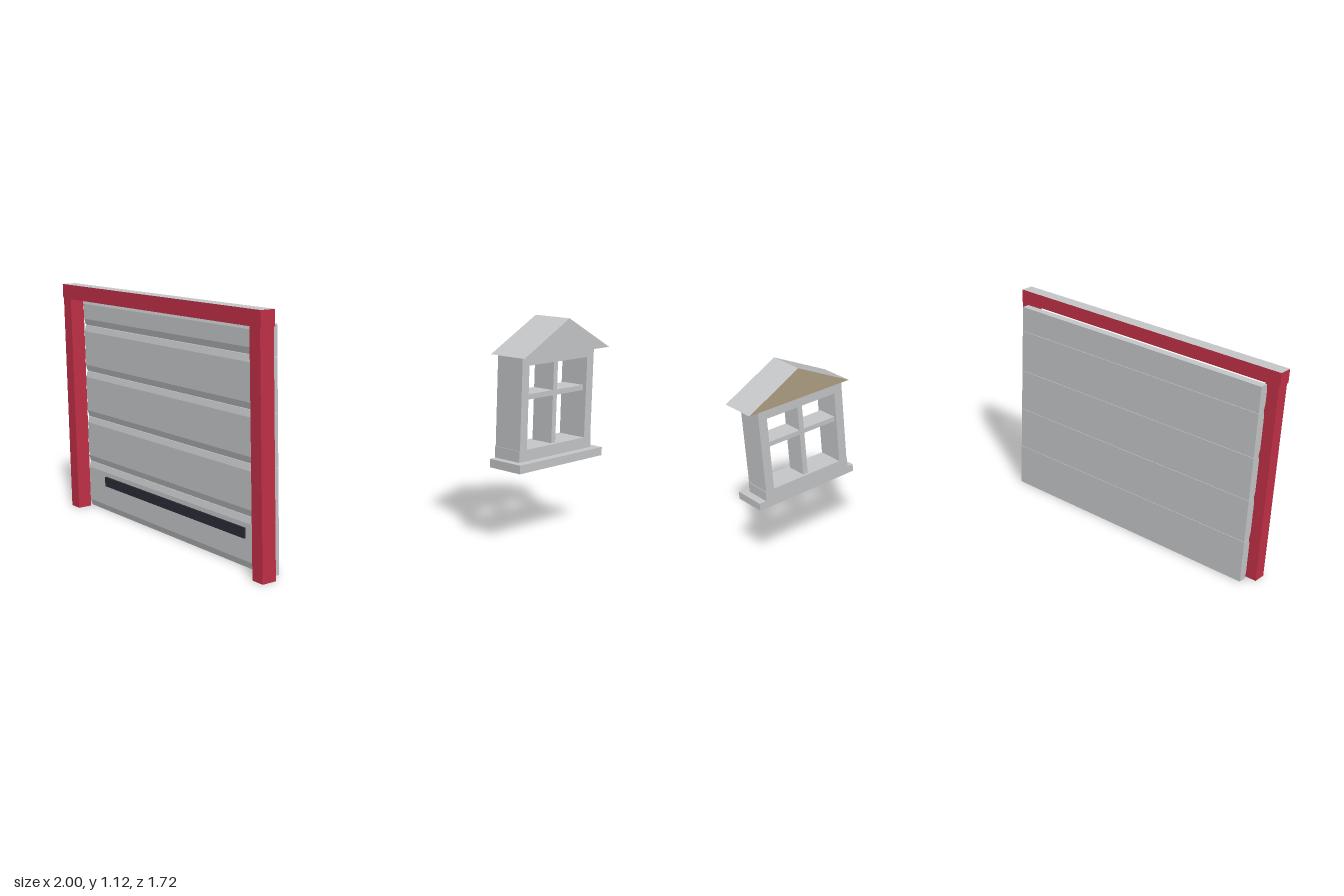
import * as THREE from 'three';

function mat(name, color) {
  const m = new THREE.MeshStandardMaterial({ color });
  m.name = name;
  return m;
}

export function createModel() {
  const grey = mat('light grey', 0xc4c6c8);
  const red = mat('trim red', 0xc23047);
  const dark = mat('charcoal', 0x2b2c36);
  const tan = mat('roof underside tan', 0xb0a083);

  const root = new THREE.Group();
  root.name = 'garageDoorAndWindow';

  // Box given by its minimum and maximum corners
  function box(parent, name, material, [x0, y0, z0], [x1, y1, z1]) {
    const g = new THREE.BoxGeometry(x1 - x0, y1 - y0, z1 - z0);
    const m = new THREE.Mesh(g, material);
    m.position.set((x0 + x1) / 2, (y0 + y1) / 2, (z0 + z1) / 2);
    m.name = name;
    parent.add(m);
    return m;
  }

  // Outline drawn in (z, y), extruded along +x from x0 to x1
  function extrudeX(points, x0, x1) {
    const shape = new THREE.Shape(points.map(([z, y]) => new THREE.Vector2(-z, y)));
    const g = new THREE.ExtrudeGeometry(shape, { depth: x1 - x0, bevelEnabled: false });
    g.rotateY(Math.PI / 2);
    g.translate(x0, 0, 0);
    return g;
  }

  // Sectional door: stacked panels with a shallow bulge on the front
  const door = new THREE.Group();
  door.name = 'garageDoor';
  root.add(door);
  const top = 1.056, pitch = 0.23, gap = 0.002;
  for (let y = 0, i = 1; y < top; y += pitch, i++) {
    const a = y, b = Math.min(y + pitch, top) - gap, e = 0.03;
    const g = extrudeX([
      [0.732, a], [0.774, a], [0.782, a + e], [0.782, b - e], [0.774, b], [0.732, b],
    ], -0.94, 0.55);
    const panel = new THREE.Mesh(g, grey);
    panel.name = 'doorPanel' + i;
    door.add(panel);
  }
  box(door, 'doorHandleBar', dark, [-0.775, 0.13, 0.775], [0.385, 0.177, 0.79]);

  // Door surround; the header has a grey cap face
  const frame = new THREE.Group();
  frame.name = 'doorFrame';
  root.add(frame);
  box(frame, 'rightPost', red, [-0.993, 0, 0.792], [-0.923, 1.052, 0.86]);
  box(frame, 'leftPost', red, [0.535, 0, 0.792], [0.605, 1.052, 0.86]);
  box(frame, 'header', [red, red, grey, red, red, red], [-1, 1.052, 0.79], [0.61, 1.122, 0.86]);

  // Window facing +x
  const win = new THREE.Group();
  win.name = 'window';
  root.add(win);
  const zc = -0.56, x0 = 0.805, x1 = 0.947;
  box(win, 'baseSill', grey, [0.81, 0.353, zc - 0.291], [0.985, 0.392, zc + 0.291]);
  box(win, 'sillBlock', grey, [x0, 0.392, zc - 0.253], [x1, 0.444, zc + 0.253]);
  box(win, 'topRail', grey, [x0, 0.822, zc - 0.203], [x1, 0.866, zc + 0.203]);
  for (const s of [-1, 1]) {
    const zs = [zc + s * 0.203, zc + s * 0.25].sort((p, q) => p - q);
    box(win, s > 0 ? 'frontJamb' : 'backJamb', grey, [x0, 0.444, zs[0]], [x1, 0.866, zs[1]]);
  }
  box(win, 'verticalMullion', grey, [0.82, 0.444, zc - 0.014], [0.93, 0.822, zc + 0.014]);
  for (const s of [-1, 1]) {
    const zs = [zc + s * 0.014, zc + s * 0.203].sort((p, q) => p - q);
    box(win, 'horizontalMullion', grey, [0.82, 0.666, zs[0]], [0.93, 0.69, zs[1]]);
  }

  // Gabled roof: grey slopes and outer gable, tan inner gable and underside
  const F = [zc + 0.298, 0.866], B = [zc - 0.298, 0.866], R = [zc, 1.02];
  const rx0 = 0.805, rx1 = 0.997;
  const P = (x, [z, y]) => [x, y, z];
  function faces(name, material, tris) {
    const g = new THREE.BufferGeometry();
    g.setAttribute('position', new THREE.Float32BufferAttribute(tris.flat(2), 3));
    g.computeVertexNormals();
    const m = new THREE.Mesh(g, material);
    m.name = name;
    win.add(m);
  }
  const quad = (a, b, c, d) => [[a, b, c], [a, c, d]];
  faces('roofSlopes', grey, [
    ...quad(P(rx0, F), P(rx1, F), P(rx1, R), P(rx0, R)),
    ...quad(P(rx1, B), P(rx0, B), P(rx0, R), P(rx1, R)),
    [P(rx1, F), P(rx1, B), P(rx1, R)],
  ]);
  faces('roofUnderside', tan, [
    ...quad(P(rx0, B), P(rx1, B), P(rx1, F), P(rx0, F)),
    [P(rx0, B), P(rx0, F), P(rx0, R)],
  ]);

  return root;
}
